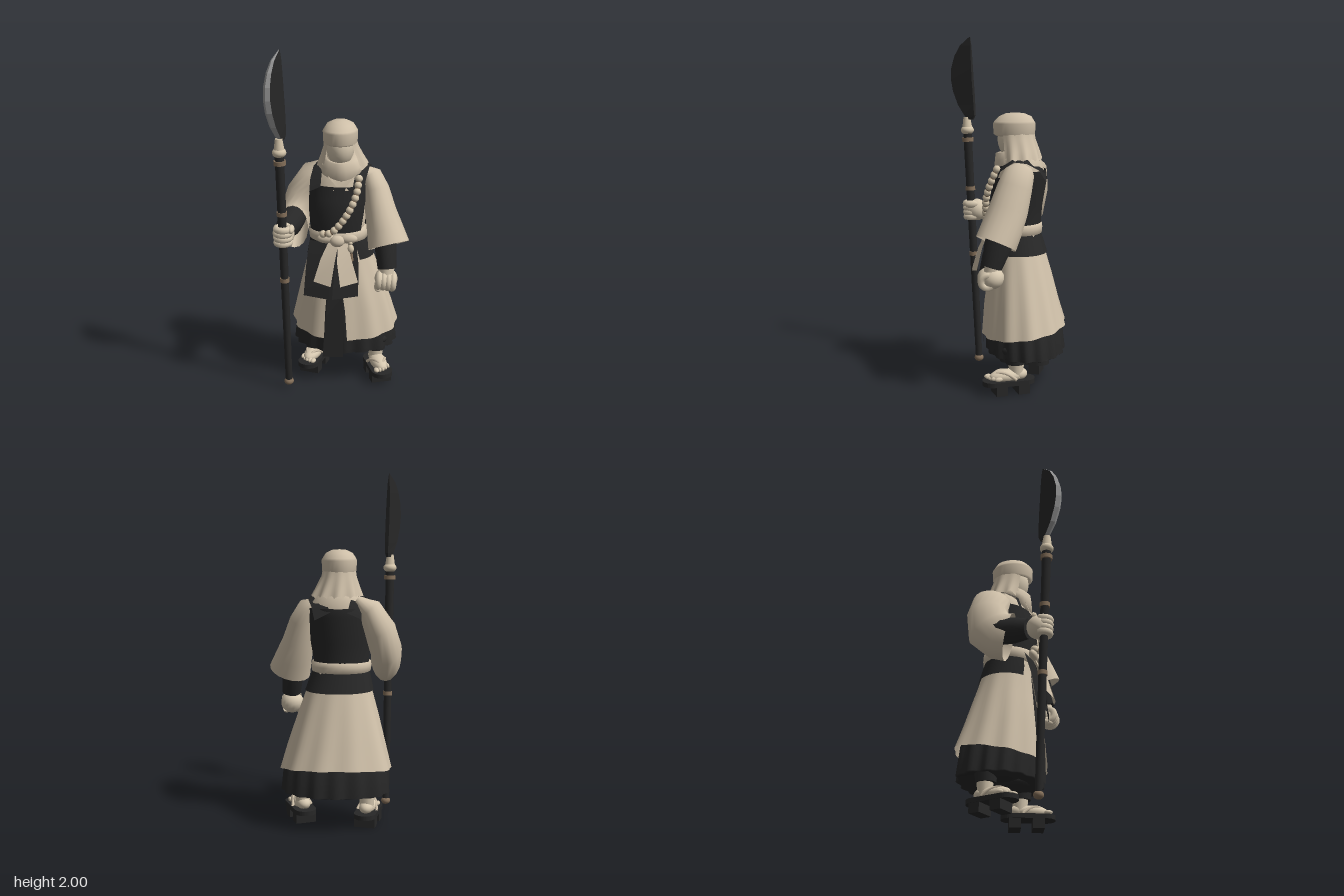
import * as THREE from 'three';

const V = (x, y, z) => new THREE.Vector3(x, y, z);
const mat = (name, color) => {
  const m = new THREE.MeshStandardMaterial({ color, side: THREE.DoubleSide });
  m.name = name;
  return m;
};

export function createModel() {
  const cloth = mat('linen', 0xcebfa8), skin = mat('skin', 0xd6c8b0), black = mat('black cloth', 0x272727);
  const brown = mat('brown', 0x85705a), steel = mat('steel', 0x989898), bone = mat('bone', 0xd4c5ab);
  const root = new THREE.Group();

  const add = (name, geo, m, parent = root) => {
    const mesh = new THREE.Mesh(geo, m);
    mesh.name = name;
    parent.add(mesh);
    return mesh;
  };

  // Skins a list of point rings
  const loft = (rings, { closed = true, caps = false, flat = false } = {}) => {
    const n = rings[0].length, pos = [], idx = [];
    rings.forEach(r => r.forEach(p => pos.push(p.x, p.y, p.z)));
    for (let i = 0; i < rings.length - 1; i++)
      for (let j = 0; j < (closed ? n : n - 1); j++) {
        const k = (j + 1) % n, a = i * n + j, b = i * n + k;
        idx.push(a, b, b + n, a, b + n, a + n);
      }
    if (caps) [rings[0], rings[rings.length - 1]].forEach((r, e) => {
      const c = r.reduce((s, p) => s.add(p), V(0, 0, 0)).divideScalar(n), s = pos.length / 3;
      [c, ...r].forEach(p => pos.push(p.x, p.y, p.z));
      for (let j = 0; j < n; j++) {
        const p = s + 1 + j, q = s + 1 + (j + 1) % n;
        e ? idx.push(s, p, q) : idx.push(s, q, p);
      }
    });
    let g = new THREE.BufferGeometry();
    g.setAttribute('position', new THREE.Float32BufferAttribute(pos, 3));
    g.setIndex(idx);
    if (flat) g = g.toNonIndexed();
    g.computeVertexNormals();
    return g;
  };

  // Horizontal ellipse (or arc); angle 0 is the front, rising toward +x; bump swells the back right
  const oval = ([y, cx, cz, rx, rz], { n = 28, a0 = 0, a1 = Math.PI * 2, k = 0, amp = 0, bump = 0, dy = () => 0 } = {}) => {
    const full = a1 - a0 > 6.28, out = [];
    for (let j = 0; j < (full ? n : n + 1); j++) {
      const a = a0 + (a1 - a0) * j / n, w = 1 + amp * Math.cos(k * a) + bump * Math.exp(-(((a - 4) / 0.48) ** 2));
      out.push(V(cx + rx * w * Math.sin(a), y + dy(a), cz + rz * w * Math.cos(a)));
    }
    return out;
  };
  const ovals = (rows, o = {}, l = {}) => loft(rows.map(r => oval(r, o)), l);

  // Tube with elliptical sections [x, y, z, r1, r2] along a path
  const limb = (secs, ref, caps = false, n = 18) => {
    const c = secs.map(s => V(s[0], s[1], s[2]));
    return loft(secs.map((s, i) => {
      const t = c[Math.min(i + 1, c.length - 1)].clone().sub(c[Math.max(i - 1, 0)]).normalize();
      const u = ref.clone().cross(t).normalize(), v = t.clone().cross(u);
      return Array.from({ length: n }, (_, j) => {
        const a = j / n * Math.PI * 2;
        return c[i].clone().addScaledVector(u, s[3] * Math.cos(a)).addScaledVector(v, s[4] * Math.sin(a));
      });
    }), { caps });
  };

  // Ribbon through points [x, y, z, halfWidth]
  const ribbon = (pts, dir) => loft(pts.map(([x, y, z, w]) =>
    [V(x, y, z).addScaledVector(dir, -w), V(x, y, z).addScaledVector(dir, w)]).reverse(), { closed: false });

  const ball = (name, m, p, s, parent = root, n = 16) => {
    const b = add(name, new THREE.SphereGeometry(1, n, n * 0.75 | 0), m, parent);
    b.position.set(...p);
    b.scale.set(...s);
    return b;
  };

  // Torso
  const body = [[0.84, -0.02, -0.05, 0.16, 0.13], [0.93, -0.025, -0.045, 0.15, 0.13], [1.05, -0.02, -0.045, 0.165, 0.14],
    [1.2, -0.01, -0.07, 0.175, 0.14], [1.28, 0, -0.085, 0.165, 0.115], [1.325, 0, -0.085, 0.11, 0.09], [1.4, 0, -0.07, 0.06, 0.06]];
  add('torso', ovals(body), cloth);

  // Vest panels follow the torso surface
  const vest = (name, a0, a1, ys) => add(name, loft(ys.map(y => {
    const i = Math.max(0, body.findIndex(r => r[0] >= y) - 1), t = (y - body[i][0]) / (body[i + 1][0] - body[i][0]);
    const r = body[i].map((v, k) => v + (body[i + 1][k] - v) * t);
    return oval([y, r[1], r[2], r[3] + 0.012, r[4] + 0.012], { n: 16, a0, a1 });
  }), { closed: false }), black);
  vest('vestFront', -1.25, 0.98, [0.9, 0.95, 1.05, 1.13, 1.21]);
  vest('vestBack', Math.PI - 1.35, Math.PI + 1.15, [0.9, 0.95, 1.05, 1.2, 1.25]);
  // Shoulder straps tilt with the slope of each shoulder
  const straps = [
    [V(1, 0.45, 0), [[-0.15, 1.19, 0.05, 0.032], [-0.145, 1.26, 0.025, 0.032], [-0.135, 1.31, -0.05, 0.03], [-0.12, 1.32, -0.11, 0.028],
      [-0.095, 1.28, -0.185, 0.03], [-0.085, 1.21, -0.216, 0.04]]],
    [V(1, -0.5, 0), [[0.095, 1.19, 0.075, 0.03], [0.108, 1.265, 0.045, 0.03], [0.125, 1.318, -0.03, 0.03], [0.135, 1.312, -0.1, 0.032],
      [0.115, 1.275, -0.17, 0.035], [0.09, 1.21, -0.213, 0.045]]]];
  for (const [dir, pts] of straps) add('vestStrap', ribbon(pts, dir), black);
  // Crossed collar
  for (const s of [1, -1])
    add('collar', ribbon([[s * 0.085, 1.33, 0.01, 0.025], [s * 0.045, 1.26, 0.06, 0.025], [-s * 0.02, 1.19, 0.079, 0.025]], V(1, 0, 0)), cloth);

  // Belt, black waist flaps and sash
  add('belt', ovals([[0.875, -0.022, -0.045, 0.15, 0.13], [0.885, -0.022, -0.045, 0.168, 0.15], [0.915, -0.022, -0.045, 0.172, 0.153],
    [0.94, -0.022, -0.045, 0.168, 0.15], [0.95, -0.022, -0.045, 0.15, 0.13]]), cloth);
  add('waistFlap', ovals([[0.775, -0.01, -0.06, 0.195, 0.165], [0.83, -0.015, -0.05, 0.18, 0.158], [0.885, -0.02, -0.045, 0.163, 0.145]],
    { a0: 0.65, a1: Math.PI * 2 - 0.75 }, { closed: false }), black);
  for (const [x, s] of [[-0.13, -1], [0.035, 1]])
    add('frontFlap', ribbon([[x - s * 0.01, 0.89, 0.09, 0.06], [x, 0.75, 0.135, 0.068], [x - 0.008, 0.575, 0.165, 0.074]],
      V(1, s * 0.08, -s * 0.22)), black);
  for (const [x, s] of [[-0.052, -1], [0.002, 1]])
    add('sashTail', ribbon([[x + 0.01, 0.89, 0.12, 0.028], [x + s * 0.02, 0.8, 0.16, 0.04], [x + s * 0.05, 0.67, 0.195, 0.05]],
      V(1, s * 0.2, -s * 0.3)), cloth);
  ball('sashKnot', cloth, [-0.02, 0.905, 0.12], [0.042, 0.034, 0.03]);
  for (const s of [-1, 1]) ball('sashBow', cloth, [-0.02 + s * 0.065, 0.915, 0.105], [0.05, 0.028, 0.024]);
  // Hanging charm
  ball('charmTop', bone, [0.055, 0.895, 0.115], [0.014, 0.016, 0.014]);
  ball('charm', bone, [0.057, 0.86, 0.12], [0.019, 0.026, 0.019]);
  add('charmCord', new THREE.CylinderGeometry(0.006, 0.012, 0.05, 8), brown).position.set(0.062, 0.815, 0.125);

  // Long robe skirt, open at the front
  const skirtRows = [[0.33, 0.02, -0.09, 0.305, 0.238, 0.23, 0.026, 0.19], [0.48, 0.012, -0.08, 0.27, 0.215, 0.22, 0.022, 0.14],
    [0.65, 0, -0.07, 0.225, 0.183, 0.17, 0.014, 0.07], [0.8, -0.01, -0.06, 0.18, 0.15, 0.08, 0.006, 0], [0.9, -0.02, -0.05, 0.155, 0.135, 0.03, 0, 0]];
  add('robeSkirt', loft(skirtRows.map(([y, cx, cz, rx, rz, gap, amp, bump], i) => oval([y, cx, cz, rx, rz],
    { n: 64, a0: gap - 0.17, a1: Math.PI * 2 - gap - 0.17, k: 11, amp, bump, dy: a => i ? 0 : -0.032 * Math.cos(a) })),
  { closed: false }), cloth);

  // Pleated trousers, gathered beneath
  add('trousers', loft([[0.27, 0.02, -0.1, 0.02, 0.02, 0, 0], [0.235, 0.02, -0.1, 0.17, 0.13, 0.02, 0.05], [0.2, 0.02, -0.1, 0.285, 0.212, 0.035, 0.14],
    [0.205, 0.02, -0.1, 0.295, 0.222, 0.035, 0.15], [0.36, 0.02, -0.09, 0.28, 0.215, 0.03, 0.15], [0.6, 0, -0.07, 0.215, 0.175, 0.02, 0.05],
    [0.85, -0.02, -0.05, 0.145, 0.12, 0, 0]]
    .map(([y, cx, cz, rx, rz, amp, bump]) => oval([y, cx, cz, rx, rz], { n: 96, k: 16, amp, bump }))), black);
  add('frontPleat', ribbon([[-0.03, 0.72, 0.125, 0.03], [-0.035, 0.45, 0.142, 0.05], [-0.045, 0.19, 0.148, 0.06]], V(1, 0, 0)), black);
  for (const x of [-0.12, 0.17]) ball('trouserLeg', black, [x, 0.25, -0.08], [0.13, 0.06, 0.15]);

  // Feet on raised wooden sandals, the left one a step ahead
  const sole = new THREE.Shape();
  sole.absarc(0, 0.09, 0.063, 0, Math.PI);
  sole.absarc(0, -0.09, 0.063, Math.PI, Math.PI * 2);
  const soleGeo = new THREE.ExtrudeGeometry(sole, { depth: 0.026, bevelEnabled: false, curveSegments: 10 }).rotateX(-Math.PI / 2);
  for (const s of [-1, 1]) {
    const foot = new THREE.Group();
    foot.name = s > 0 ? 'leftFoot' : 'rightFoot';
    foot.position.set(0.02 + s * 0.196, 0, s > 0 ? 0 : -0.1);
    foot.rotation.y = s * 0.3;
    root.add(foot);
    add('sandalSole', soleGeo, black, foot).position.y = 0.054;
    for (const z of [-0.075, 0.055])
      add('sandalTooth', new THREE.BoxGeometry(0.118, 0.056, 0.065), black, foot).position.set(0, 0.028, z);
    ball('footBody', skin, [0, 0.1, 0.01], [0.048, 0.038, 0.105], foot);
    ball('heel', skin, [0, 0.105, -0.06], [0.04, 0.035, 0.05], foot);
    for (let i = 0; i < 5; i++)
      ball('toe', skin, [s * (-0.038 + i * 0.02), 0.094, 0.11 - i * i * 0.0025], [i ? 0.011 : 0.016, 0.013, 0.024], foot, 8);
    add('ankle', new THREE.CylinderGeometry(0.048, 0.038, 0.11, 14), skin, foot).position.set(0, 0.145, -0.045);
    add('legging', new THREE.CylinderGeometry(0.064, 0.056, 0.075, 14), black, foot).position.set(0, 0.205, -0.04);
    for (const d of [-1, 1])
      add('sandalStrap', new THREE.TubeGeometry(new THREE.QuadraticBezierCurve3(
        V(0, 0.105, 0.095), V(d * 0.03, 0.155, 0.05), V(d * 0.056, 0.085, -0.03)), 10, 0.009, 6), cloth, foot);
  }

  // Left arm, hanging
  add('leftSleeve', limb([[0.125, 1.265, -0.07, 0.035, 0.065], [0.165, 1.245, -0.06, 0.06, 0.085], [0.195, 1.17, -0.035, 0.075, 0.098],
    [0.222, 1.05, 0, 0.09, 0.11], [0.25, 0.95, 0.037, 0.106, 0.116], [0.272, 0.868, 0.07, 0.12, 0.118]], V(0, 0, 1)), cloth);
  add('leftForearm', limb([[0.24, 1.0, 0.02, 0.06, 0.075], [0.255, 0.85, 0.06, 0.063, 0.078], [0.265, 0.735, 0.095, 0.054, 0.058]], V(0, 0, 1), true), black);
  // Right arm, bent forward
  add('rightSleeve', limb([[-0.1, 1.265, -0.1, 0.085, 0.045], [-0.17, 1.228, -0.118, 0.112, 0.08], [-0.235, 1.12, -0.125, 0.115, 0.092],
    [-0.272, 1.01, -0.095, 0.135, 0.09], [-0.278, 0.96, -0.03, 0.14, 0.087], [-0.278, 0.95, 0.015, 0.142, 0.084]], V(1, 0, 0)), cloth);
  add('rightForearm', limb([[-0.285, 0.985, -0.08, 0.075, 0.075], [-0.3, 0.975, 0.05, 0.072, 0.072], [-0.315, 0.968, 0.13, 0.056, 0.056]], V(1, 0, 0), true), black);

  // Fists: fingers wrap the local y axis
  const fist = (name, p, rot, s) => {
    const g = new THREE.Group();
    g.name = name;
    g.position.set(...p);
    g.rotation.set(...rot);
    root.add(g);
    ball('palm', skin, [0, 0, -0.01], [0.062, 0.066, 0.066], g);
    for (let i = 0; i < 4; i++) {
      const f = add('finger', new THREE.TorusGeometry(0.036, 0.02, 8, 14, Math.PI * 1.3), skin, g);
      f.position.set(0, 0.042 - i * 0.027, 0.018);
      f.rotation.set(Math.PI / 2, 0, -0.5);
    }
    ball('thumb', skin, [s * 0.045, 0.04, 0.02], [0.02, 0.024, 0.042], g, 10);
  };
  fist('rightHand', [-0.316, 0.968, 0.197], [0.05, 0, 0], 1);
  fist('leftHand', [0.26, 0.67, 0.1], [0.3, 0, 1.45], -1);
  add('leftWrist', limb([[0.265, 0.75, 0.09, 0.042, 0.042], [0.262, 0.68, 0.1, 0.042, 0.042]], V(0, 0, 1)), skin);

  // Head, turban, hood and neck scarf
  ball('face', skin, [-0.01, 1.42, -0.035], [0.08, 0.115, 0.095], root, 20);
  add('turban', ovals([[1.44, -0.01, -0.035, 0.086, 0.104], [1.45, -0.01, -0.035, 0.097, 0.118], [1.51, -0.01, -0.035, 0.1, 0.121],
    [1.522, -0.01, -0.035, 0.094, 0.114], [1.55, -0.01, -0.04, 0.076, 0.092], [1.567, -0.01, -0.04, 0.042, 0.052], [1.571, -0.01, -0.04, 0.002, 0.002]]), cloth);
  const hoodRows = [[1.305, 0.002, -0.06, 0.145, 0.128, 0.045], [1.36, -0.002, -0.055, 0.124, 0.12, 0.035],
    [1.42, -0.008, -0.045, 0.1, 0.11, 0.02], [1.48, -0.01, -0.035, 0.09, 0.11, 0]];
  add('hood', loft(hoodRows.map((r, i) => oval(r, { n: 48, a0: 0.85, a1: Math.PI * 2 - 0.85, k: 10, amp: r[5],
    dy: a => i ? 0 : 0.012 * Math.cos(a * 10) })), { closed: false }), cloth);
  add('neckScarf', loft([[1.28, 0, -0.03, 0.09, 0.085, 0.045], [1.295, 0, -0.032, 0.125, 0.108, 0.042], [1.33, 0, -0.034, 0.12, 0.108, 0.03],
    [1.365, -0.005, -0.035, 0.1, 0.104, 0.024], [1.37, -0.01, -0.035, 0.078, 0.088, 0.024]]
    .map(([y, cx, cz, rx, rz, d]) => oval([y, cx, cz, rx, rz], { k: 7, amp: 0.02, dy: a => -d * Math.max(0, Math.cos(a)) }))), cloth);

  // Prayer bead strand
  const strand = new THREE.CatmullRomCurve3([V(0.1, 1.26, 0.065), V(0.088, 1.18, 0.1), V(0.05, 1.09, 0.125),
    V(-0.01, 1.0, 0.13), V(-0.06, 0.955, 0.13), V(-0.1, 0.945, 0.115)]);
  strand.getSpacedPoints(11).forEach(p => ball('bead', bone, p.toArray(), [0.022, 0.022, 0.022], root, 10));
  add('beadCord', new THREE.TubeGeometry(strand, 20, 0.015, 8), brown);

  // Polearm shaft and fittings
  const base = V(-0.302, 0.03, 0.176), top = V(-0.325, 1.5, 0.243);
  const pole = new THREE.Group();
  pole.name = 'polearm';
  pole.position.copy(base);
  pole.quaternion.setFromUnitVectors(V(0, 1, 0), top.clone().sub(base).normalize());
  root.add(pole);
  const turn = (name, y, h, r0, r1, m) => add(name, new THREE.CylinderGeometry(r1, r0, h, 16), m, pole).position.set(0, y, 0);
  turn('shaft', 0.71, 1.42, 0.02, 0.026, black);
  ball('footCap', brown, [0, 0.012, 0], [0.028, 0.023, 0.028], pole);
  for (const [y, r] of [[0.67, 0.027], [1.07, 0.029], [1.365, 0.034]]) turn('ring', y, 0.024, r, r, brown);
  ball('collarBead', bone, [0, 1.422, 0], [0.039, 0.029, 0.039], pole);
  turn('socket', 1.47, 0.06, 0.029, 0.02, bone);

  // Curved blade: rows of height, spine offset, edge offset, half thickness
  const d = V(-0.5, 0, 0.866), nrm = V(0.866, 0, 0.5);
  const at = (y, s, t) => V(-0.298, y, 0.195).addScaledVector(d, s).addScaledVector(nrm, t);
  const rows = [[1.515, 0.01, 0.05, 0.013], [1.54, 0, 0.075, 0.018], [1.6, 0.003, 0.118, 0.022], [1.68, 0.008, 0.152, 0.024],
    [1.75, 0.014, 0.166, 0.024], [1.82, 0.018, 0.163, 0.022], [1.89, 0.022, 0.14, 0.018], [1.95, 0.025, 0.102, 0.012], [2, 0.03, 0.036, 0.002]];
  add('blade', loft(rows.map(([y, a, b, t]) => [at(y, a, -t * 0.5), at(y, b - t * 0.6, -t), at(y, b - t * 0.6, t), at(y, a, t * 0.5)]),
    { caps: true, flat: true }), black);
  add('bladeEdge', loft(rows.map(([y, , b, t]) => [at(y, b - t * 0.6, -t), at(y, b, 0), at(y, b - t * 0.6, t)]),
    { closed: false, flat: true }), steel);

  return root;
}
